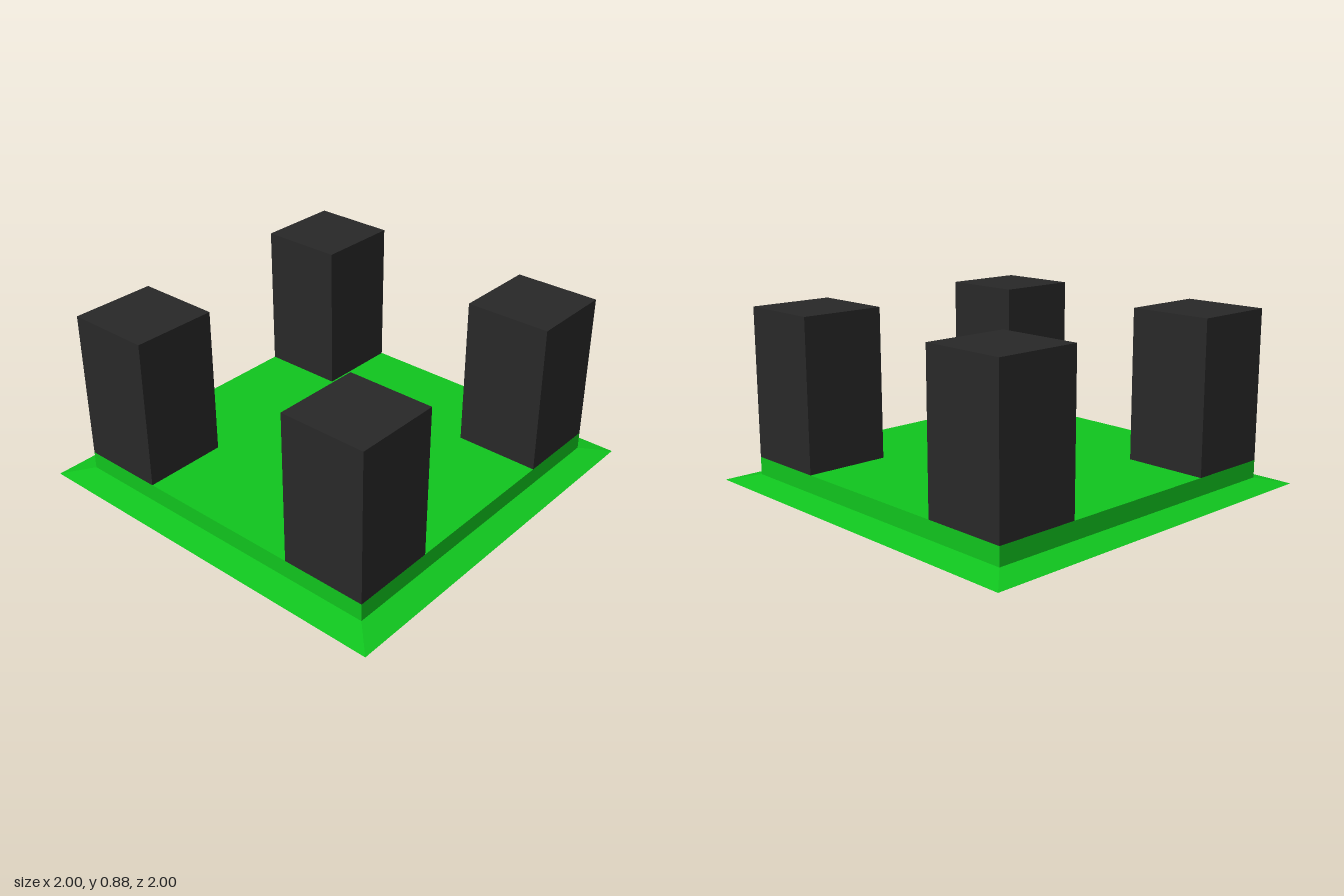
import * as THREE from 'three';

export function createModel() {
  const model = new THREE.Group();
  const green = new THREE.MeshStandardMaterial({ color: 0x10c41e, flatShading: true });
  const black = new THREE.MeshStandardMaterial({ color: 0x282828, flatShading: true });

  const inner = 0.87; // half width of the slab
  const skirtTop = 0.03;
  const slabTop = 0.12;
  const towerTop = 0.88;

  function add(name, geometry, material, x, y, z) {
    const mesh = new THREE.Mesh(geometry, material);
    mesh.name = name;
    mesh.position.set(x, y, z);
    model.add(mesh);
  }

  // Sloping skirt: a four-sided frustum turned square to the axes
  const skirt = new THREE.CylinderGeometry(inner * Math.SQRT2, Math.SQRT2, skirtTop, 4);
  skirt.rotateY(Math.PI / 4);
  add('skirt', skirt, green, 0, skirtTop / 2, 0);

  // Flat slab on the skirt
  const slab = new THREE.BoxGeometry(inner * 2, slabTop - skirtTop, inner * 2);
  add('slab', slab, green, 0, (skirtTop + slabTop) / 2, 0);

  // Four corner towers, flush with the slab edges
  const width = inner / 2;
  const tower = new THREE.BoxGeometry(width, towerTop - slabTop, width);
  const offset = inner - width / 2;
  for (const [side, sx] of [['Left', 1], ['Right', -1]]) {
    for (const [end, sz] of [['front', 1], ['back', -1]]) {
      add(`${end}${side}Tower`, tower, black, sx * offset, (slabTop + towerTop) / 2, sz * offset);
    }
  }

  return model;
}
